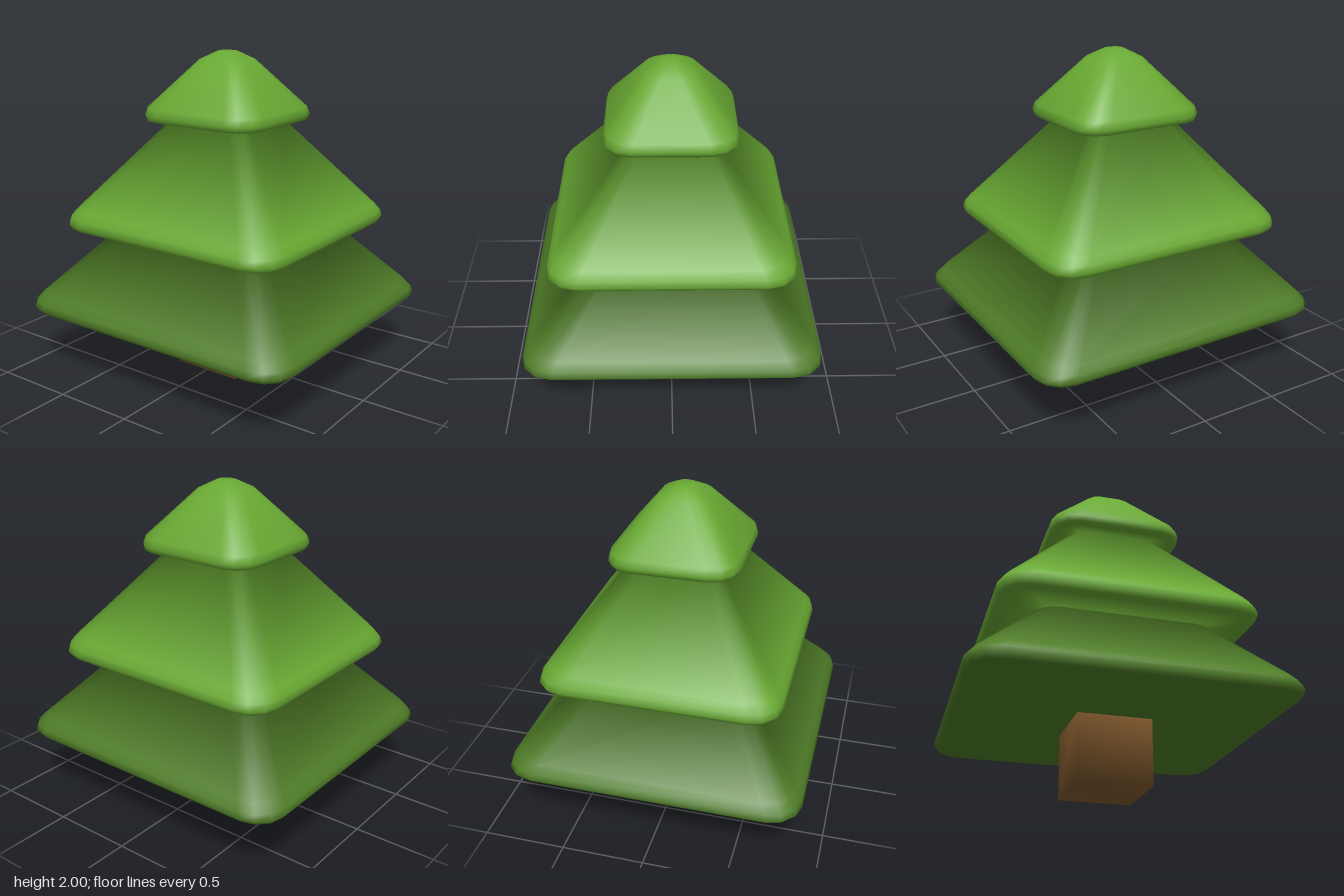
import * as THREE from 'three';
import { mergeVertices } from 'three/addons/utils/BufferGeometryUtils.js';

const CORNER_STEPS = 3;

// One rounded-rectangle cross-section: half width, half depth, height, corner radius
function ring(hx, hz, y, r) {
  const points = [];
  for (let c = 0; c < 4; c++) {
    const sx = c === 0 || c === 3 ? 1 : -1;
    const sz = c < 2 ? 1 : -1;
    for (let k = 0; k <= CORNER_STEPS; k++) {
      const a = (c + k / CORNER_STEPS) * Math.PI / 2;
      points.push(sx * (hx - r) + r * Math.cos(a), y, sz * (hz - r) + r * Math.sin(a));
    }
  }
  return points;
}

// Soft shading: every face counts equally at a shared vertex
function softenNormals(geometry) {
  const pos = geometry.attributes.position, index = geometry.index;
  const normals = Array.from({ length: pos.count }, () => new THREE.Vector3());
  const tri = new THREE.Triangle(), n = new THREE.Vector3();
  for (let i = 0; i < index.count; i += 3) {
    const ids = [0, 1, 2].map((k) => index.getX(i + k));
    tri.setFromAttributeAndIndices(pos, ...ids);
    if (tri.getArea() < 1e-8) continue;
    tri.getNormal(n);
    ids.forEach((id) => normals[id].add(n));
  }
  const flat = normals.flatMap((v) => v.normalize().toArray());
  geometry.setAttribute('normal', new THREE.Float32BufferAttribute(flat, 3));
  return geometry;
}

// Skin the cross-sections from bottom to top; strips from splitAt on use the second material
function loft(sections, splitAt) {
  const count = 4 * (CORNER_STEPS + 1);
  const index = [];
  for (let i = 0; i < sections.length - 1; i++) {
    for (let j = 0; j < count; j++) {
      const a = i * count + j, b = i * count + (j + 1) % count;
      index.push(a, a + count, b, b, a + count, b + count);
    }
  }
  const geometry = new THREE.BufferGeometry();
  geometry.setAttribute('position', new THREE.Float32BufferAttribute(sections.flatMap((s) => ring(...s)), 3));
  geometry.setIndex(index);
  geometry.addGroup(0, splitAt * count * 6, 0);
  geometry.addGroup(splitAt * count * 6, index.length - splitAt * count * 6, 1);
  return softenNormals(geometry);
}

export function createModel() {
  const darkGreen = new THREE.MeshStandardMaterial({ color: 0x4f7d27 });
  const leafGreen = new THREE.MeshStandardMaterial({ color: 0x69a933 });
  const barkBrown = new THREE.MeshStandardMaterial({ color: 0x785329 });
  darkGreen.name = 'darkGreen';
  leafGreen.name = 'leafGreen';
  barkBrown.name = 'barkBrown';

  const lowerTier = [
    [0, 0, 0.4, 0],
    [0.82, 0.88, 0.4, 0.13],
    [0.86, 0.92, 0.405, 0.16],
    [0.885, 0.945, 0.435, 0.18],
    [0.875, 0.935, 0.47, 0.18],
    [0.84, 0.9, 0.515, 0.17],
    [0.49, 0.53, 0.92, 0.13],
  ];
  const middleTier = [
    [0.67, 0.72, 0.92, 0.14],
    [0.7, 0.755, 0.93, 0.16],
    [0.722, 0.777, 0.96, 0.18],
    [0.712, 0.767, 1.0, 0.18],
    [0.68, 0.735, 1.045, 0.17],
    [0.265, 0.285, 1.58, 0.09],
  ];
  const topTier = [
    [0.34, 0.37, 1.58, 0.13],
    [0.375, 0.405, 1.588, 0.15],
    [0.39, 0.42, 1.62, 0.17],
    [0.375, 0.405, 1.665, 0.16],
    [0.14, 0.15, 1.95, 0.09],
    [0.05, 0.055, 2, 0.04],
    [0, 0, 2, 0],
  ];

  // Three stacked foliage tiers, one continuous soft surface
  const foliage = new THREE.Mesh(
    loft([...lowerTier, ...middleTier, ...topTier], lowerTier.length - 1),
    [darkGreen, leafGreen],
  );
  foliage.name = 'foliage';

  // Square trunk with softly shaded edges
  const box = new THREE.BoxGeometry(0.45, 0.42, 0.45).translate(0, 0.21, 0);
  box.deleteAttribute('normal');
  box.deleteAttribute('uv');
  box.clearGroups();
  const trunk = new THREE.Mesh(softenNormals(mergeVertices(box)), barkBrown);
  trunk.name = 'trunk';

  const group = new THREE.Group();
  group.name = 'tree';
  group.add(trunk, foliage);
  return group;
}
